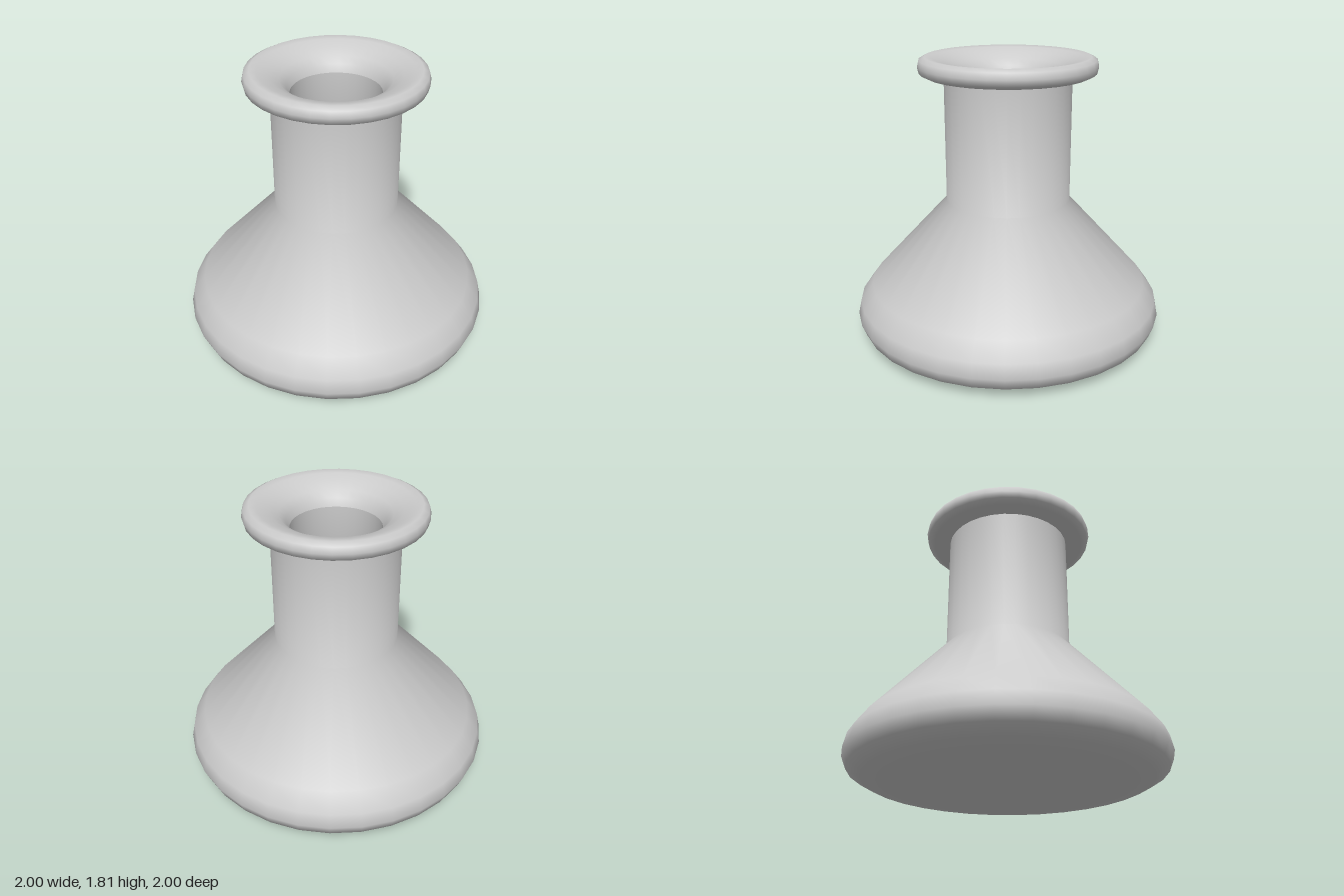
import * as THREE from 'three';

const SIDES = 32;

// Revolve a short [radius, height] profile around the vertical axis
function lathe(name, profile, color = 0xcccccc) {
  const points = profile.map(([r, y]) => new THREE.Vector2(r, y));
  const material = new THREE.MeshStandardMaterial({ color, side: THREE.DoubleSide });
  const mesh = new THREE.Mesh(new THREE.LatheGeometry(points, SIDES), material);
  mesh.name = name;
  return mesh;
}

export function createModel() {
  const flask = new THREE.Group();
  flask.name = 'flask';

  // Rounded base, conical shoulder and straight neck
  flask.add(lathe('body', [
    [0, 0], [0.75, 0.005], [0.88, 0.02], [0.97, 0.07], [1, 0.145],
    [0.98, 0.235], [0.9, 0.345], [0.4, 0.89], [0.4, 1.7],
  ]));

  // Rolled lip with a funnel leading into the throat
  flask.add(lathe('rim', [
    [0.39, 1.69], [0.51, 1.69], [0.55, 1.71], [0.56, 1.75], [0.55, 1.79],
    [0.515, 1.808], [0.47, 1.8], [0.4, 1.775], [0.34, 1.74], [0.3, 1.7], [0.28, 1.65],
  ]));

  // Inner wall of the neck and the bulb
  flask.add(lathe('innerWall', [
    [0.28, 1.65], [0.28, 0.85], [0.8, 0.29], [0.84, 0.2], [0.8, 0.12], [0, 0.1],
  ]));

  // Coloured liquid filling the bulb up to the neck
  flask.add(lathe('liquid', [
    [0, 0.12], [0.76, 0.14], [0.82, 0.2], [0.78, 0.28], [0.275, 0.84], [0.275, 0.93],
  ], 0xcc0c2a));
  const surface = new THREE.Mesh(
    new THREE.CircleGeometry(0.275, SIDES).rotateX(-Math.PI / 2),
    new THREE.MeshStandardMaterial({ color: 0xcc0c2a }),
  );
  surface.name = 'liquidSurface';
  surface.position.y = 0.93;
  flask.add(surface);

  return flask;
}
